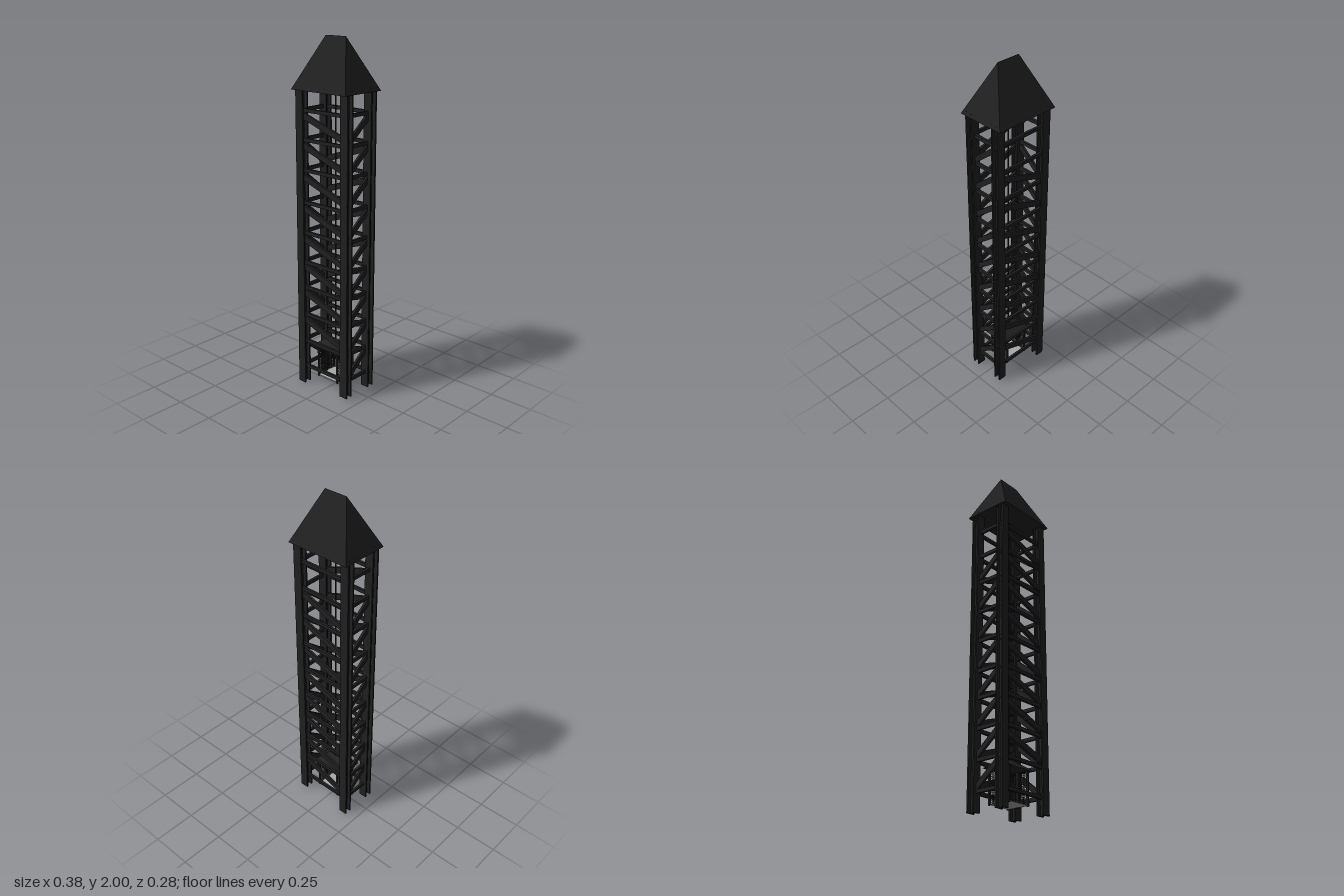
import * as THREE from 'three';

const steel = new THREE.MeshStandardMaterial({ color: 0x202020 });
steel.name = 'black steel';
const cableMat = new THREE.MeshStandardMaterial({ color: 0x1a1a2a });
cableMat.name = 'dark cable';
const floorMat = new THREE.MeshStandardMaterial({ color: 0xa8a8a8, side: THREE.DoubleSide });
floorMat.name = 'light grey floor';

function add(parent, name, geometry, material, x, y, z) {
  const mesh = new THREE.Mesh(geometry, material);
  mesh.name = name;
  mesh.position.set(x, y, z);
  parent.add(mesh);
  return mesh;
}

const box = (w, h, d) => new THREE.BoxGeometry(w, h, d);

// Closed hip roof: base half sizes w and d, ridge half length r, height h
function hipRoof(w, d, r, h) {
  const A = [-w, 0, d], B = [w, 0, d], C = [w, 0, -d], D = [-w, 0, -d];
  const P = [-r, h, 0], Q = [r, h, 0];
  const corners = [A, B, Q, A, Q, P, B, C, Q, C, D, P, C, P, Q, D, A, P, A, D, C, A, C, B];
  const g = new THREE.BufferGeometry();
  g.setAttribute('position', new THREE.Float32BufferAttribute(corners.flat(), 3));
  g.computeVertexNormals();
  return g;
}

// H-section column with flanges facing front and back
function columnGeometry(w, d, t, height) {
  const a = w / 2, b = d / 2, s = t / 2;
  const pts = [[-a, -b], [a, -b], [a, -b + t], [s, -b + t], [s, b - t], [a, b - t],
    [a, b], [-a, b], [-a, b - t], [-s, b - t], [-s, -b + t], [-a, -b + t]];
  const shape = new THREE.Shape(pts.map(p => new THREE.Vector2(p[0], p[1])));
  const g = new THREE.ExtrudeGeometry(shape, { depth: height, bevelEnabled: false });
  return g.rotateX(-Math.PI / 2);
}

export function createModel() {
  const model = new THREE.Group();
  model.name = 'liftTower';
  const X = 0.16, Z = 0.093;

  // Four corner columns
  const columns = new THREE.Group();
  columns.name = 'columns';
  model.add(columns);
  for (const sx of [-1, 1]) for (const sz of [-1, 1]) {
    const foot = sx > 0 ? 0.012 : 0;
    add(columns, 'column', columnGeometry(0.05, 0.046, 0.009, 1.74 - foot), steel, sx * X, foot, sz * Z);
  }

  // Tie rails and diagonals on the four faces
  const bracing = new THREE.Group();
  bracing.name = 'bracing';
  model.add(bracing);
  const levels = [0.105, 0.265, 0.432, 0.598, 0.75, 0.925, 1.1, 1.282, 1.45, 1.61];
  for (const s of [-1, 1]) {
    for (const y of levels) {
      add(bracing, 'longRail', box(2 * X, 0.02, 0.014), steel, 0, y, s * Z);
      add(bracing, 'shortRail', box(0.014, 0.02, 2 * Z), steel, s * X, y, 0);
    }
    for (let i = 0; i < 9; i++) {
      const mid = (levels[i] + levels[i + 1]) / 2;
      // The front stops above the entrance; the back stops below the top bay
      if (s > 0 ? i > 0 : i < 8) {
        const long = add(bracing, 'longDiagonal', box(0.32, 0.034, 0.014), steel, 0, mid, s * Z);
        long.rotation.z = -s * 0.33;
      }
      if (s > 0 || i < 8) {
        const short = add(bracing, 'shortDiagonal', box(0.014, 0.03, 0.205), steel, s * X, mid, 0);
        short.rotation.x = s * 0.68;
      }
    }
  }

  // Tower roof
  add(model, 'towerRoof', hipRoof(0.192, 0.141, 0.07, 0.28), steel, 0, 1.72, 0);

  // Hoisting cable
  add(model, 'cable', new THREE.CylinderGeometry(0.004, 0.004, 1.45, 8), cableMat, 0, 1.005, 0);

  // Lift cabin with roof, posts, floor and mesh sides
  const cabin = new THREE.Group();
  cabin.name = 'cabin';
  model.add(cabin);
  add(cabin, 'cabinRoof', hipRoof(0.11, 0.08, 0.05, 0.055), steel, 0, 0.235, 0);
  add(cabin, 'cabinFloor', box(0.145, 0.004, 0.135), floorMat, 0, 0.056, 0);
  for (const sx of [-1, 1]) {
    for (const z of [-0.066, 0, 0.066]) {
      add(cabin, 'cabinPost', box(0.01, 0.19, 0.01), steel, sx * 0.072, 0.145, z);
    }
    for (let i = 1; i < 14; i++) {
      add(cabin, 'meshWireUpright', box(0.002, 0.185, 0.002), steel, sx * 0.072, 0.145, -0.066 + i * 0.0094);
    }
    for (let i = 0; i < 20; i++) {
      add(cabin, 'meshWireLevel', box(0.002, 0.002, 0.132), steel, sx * 0.072, 0.055 + i * 0.0094, 0);
    }
  }
  return model;
}
